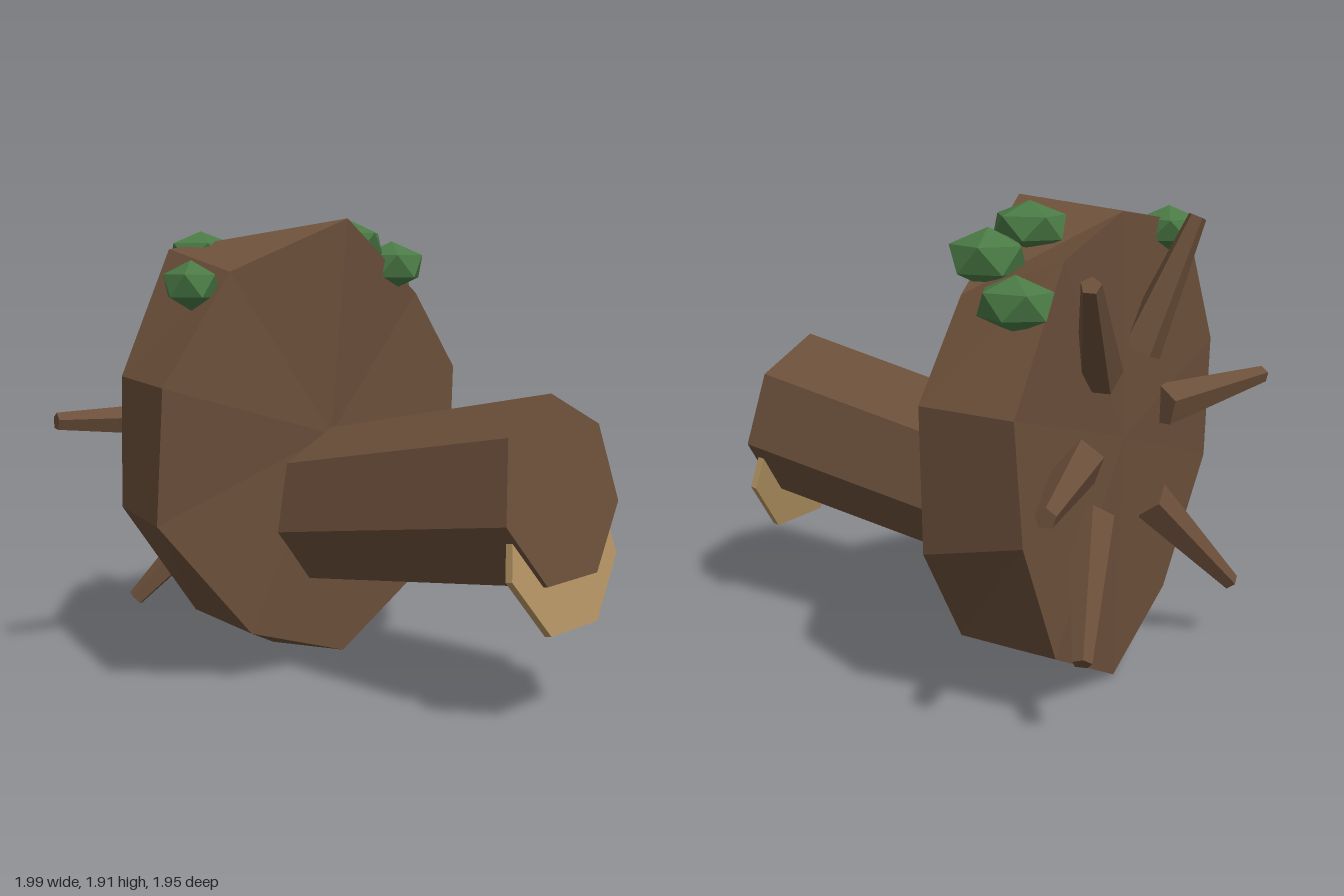
import * as THREE from 'three';

const mat = (name, color) => {
  const m = new THREE.MeshStandardMaterial({ color, flatShading: true });
  m.name = name;
  return m;
};

// Solid slab between two matching rings of points, each closed by a fan
function slab(front, back) {
  const n = front.length, pos = [];
  const centre = (r) => [0, 1, r.reduce((s, p) => s + p[2], 0) / n];
  const cf = centre(front), cb = centre(back);
  for (let i = 0; i < n; i++) {
    const j = (i + 1) % n;
    const [a, b, c, d] = [front[i], front[j], back[j], back[i]];
    pos.push(...cf, ...a, ...b, ...cb, ...c, ...d);
    pos.push(...a, ...d, ...c, ...a, ...c, ...b);
  }
  const g = new THREE.BufferGeometry();
  g.setAttribute('position', new THREE.Float32BufferAttribute(pos, 3));
  g.computeVertexNormals();
  return g;
}

export function createModel() {
  const group = new THREE.Group();
  const bark = mat('bark brown', 0x6b4f3a);
  const cut = mat('cut wood tan', 0xb39362);
  const moss = mat('moss green', 0x4a7a45);
  const add = (name, geo, material) => {
    const m = new THREE.Mesh(geo, material);
    m.name = name;
    group.add(m);
    return m;
  };

  // Upturned root plate, counterclockwise from the top
  const front = [
    [0.07, 1.91, -0.27], [-0.53, 1.69, -0.33], [-0.92, 1.26, -0.27], [-0.93, 0.73, -0.31],
    [-0.48, 0.22, -0.29], [0.06, 0.03, -0.3], [0.54, 0.28, -0.31], [0.79, 0.68, -0.31],
    [0.84, 1.24, -0.33], [0.57, 1.59, -0.33],
  ];
  const back = [
    [0.03, 1.86, -0.69], [-0.54, 1.78, -0.7], [-0.77, 1.27, -0.73], [-0.8, 0.74, -0.71],
    [-0.44, 0.24, -0.7], [0, 0, -0.69], [0.56, 0.29, -0.73], [0.77, 0.77, -0.71],
    [0.82, 1.23, -0.7], [0.53, 1.73, -0.72],
  ];
  add('rootPlate', slab(front, back), bark);

  // Leaning seven-sided trunk, an angle of the heptagon pointing up
  const tilt = 0.165, length = 1.4;
  const trunkGeo = new THREE.CylinderGeometry(0.363, 0.325, length, 7);
  trunkGeo.rotateY(Math.PI).translate(0, -length / 2, 0);
  const trunk = add('trunk', trunkGeo, bark);
  trunk.rotation.x = Math.PI / 2 - tilt;
  trunk.position.set(0, 0.892, 0.9);

  // Slipped disc of cut wood under the trunk end
  const disc = add('cutWoodDisc', new THREE.CylinderGeometry(0.34, 0.34, 0.03, 7).rotateY(Math.PI), cut);
  disc.rotation.x = Math.PI / 2 - 0.18;
  disc.position.set(0, 0.685, 0.897);

  // Broken roots splayed over the back: base x, y, then tip x, y, z
  const roots = [
    [0.36, 0.98, 0.99, 0.98, -0.92], [0.23, 1.28, 0.62, 1.67, -0.87],
    [-0.1, 1.32, -0.24, 1.83, -0.87], [-0.31, 1.06, -0.98, 1.09, -0.89],
    [-0.23, 0.69, -0.57, 0.27, -0.95], [0.27, 0.75, 0.66, 0.35, -0.89],
  ];
  const up = new THREE.Vector3(0, 1, 0);
  for (const [bx, by, tx, ty, tz] of roots) {
    const base = new THREE.Vector3(bx, by, -0.71), tip = new THREE.Vector3(tx, ty, tz);
    const dir = tip.clone().sub(base);
    const root = add('root', new THREE.CylinderGeometry(0.037, 0.09, dir.length(), 5), bark);
    root.position.copy(base).add(tip).multiplyScalar(0.5);
    root.quaternion.setFromUnitVectors(up, dir.normalize());
  }

  // Flattened moss clumps on the upper rim: centre, half sizes, turn
  const clumps = [
    [0.25, 1.81, -0.42, 0.14, 0.095, 0.155, 0.3], [0.44, 1.71, -0.36, 0.15, 0.11, 0.16, 0.9],
    [0.65, 1.59, -0.6, 0.125, 0.1, 0.155, 0.1], [-0.62, 1.635, -0.46, 0.105, 0.1, 0.145, 0.5],
    [-0.38, 1.765, -0.69, 0.145, 0.09, 0.145, 1.1],
  ];
  for (const [x, y, z, sx, sy, sz, turn] of clumps) {
    const geo = new THREE.IcosahedronGeometry(1, 0).rotateZ(0.5536).rotateY(turn);
    const clump = add('mossClump', geo, moss);
    clump.scale.set(sx, sy, sz);
    clump.position.set(x, y, z);
  }
  return group;
}
